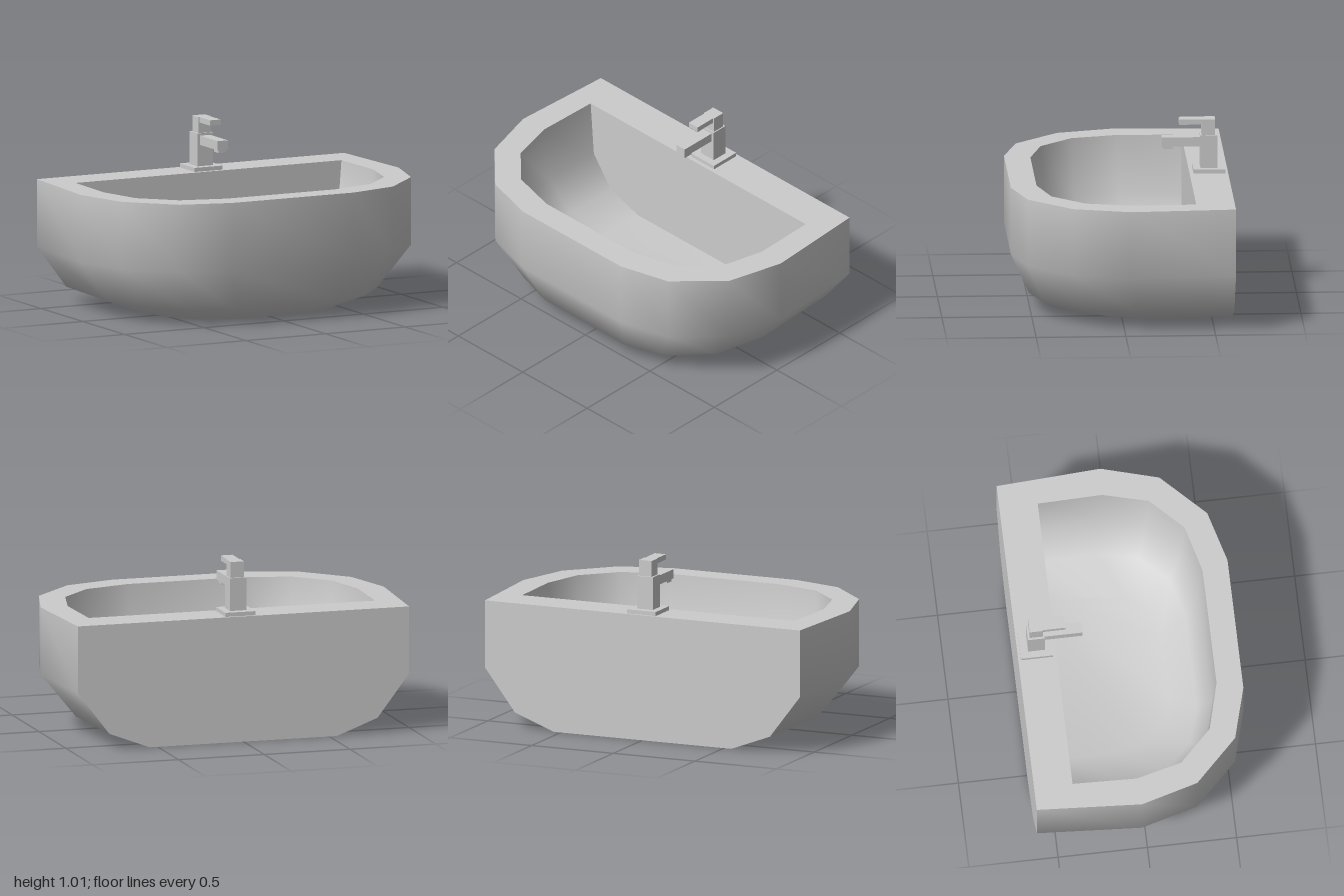
import * as THREE from 'three';
import { toCreasedNormals } from 'three/addons/utils/BufferGeometryUtils.js';

const ceramic = new THREE.MeshStandardMaterial({ color: 0xcccccc });
ceramic.name = 'pale grey';

// Mirror the left half of an outline, running from the back corner round the front
const mirrored = half => [...half, ...[...half].reverse().map(([x, z]) => [-x, z])];

const OUTER = mirrored([[0.965, -0.615], [1, -0.03], [0.91, 0.29], [0.67, 0.53], [0.38, 0.61]]);
const INNER = mirrored([[0.835, -0.4], [0.845, -0.04], [0.78, 0.215], [0.6, 0.395], [0.335, 0.465]]);

// One horizontal ring: the outline shrinks in x, and in z towards its flat back
function ring(outline, y, sx, sz) {
  const back = outline[0][1];
  return outline.map(([x, z]) => [x * sx, y, back + (z - back) * sz]);
}

// Closed shell: underside, outer wall, rim, bowl wall and bowl floor
function basinGeometry() {
  const rings = [
    ring(OUTER, 0, 0.565, 0.765),
    ring(OUTER, 0.09, 0.81, 0.915),
    ring(OUTER, 0.33, 1, 1),
    ring(OUTER, 0.71, 1, 1),
    ring(INNER, 0.71, 1, 1),
    ring(INNER, 0.38, 0.97, 0.97),
    ring(INNER, 0.2, 0.81, 0.88),
    ring(INNER, 0.13, 0.56, 0.71),
  ];
  const n = OUTER.length;
  const last = (rings.length - 1) * n;
  const index = [];
  for (let k = 0; k < rings.length - 1; k++) {
    for (let i = 0; i < n; i++) {
      const a = k * n + i, b = k * n + (i + 1) % n;
      index.push(a, a + n, b + n, a, b + n, b);
    }
  }
  for (let i = 1; i < n - 1; i++) {
    index.push(0, i, i + 1);
    index.push(last, last + i + 1, last + i);
  }
  const geometry = new THREE.BufferGeometry();
  geometry.setAttribute('position', new THREE.Float32BufferAttribute(rings.flat(2), 3));
  geometry.setIndex(index);
  return toCreasedNormals(geometry, THREE.MathUtils.degToRad(50));
}

// Box given by its limits on each axis
function block(name, [x0, x1], [y0, y1], [z0, z1]) {
  const mesh = new THREE.Mesh(new THREE.BoxGeometry(x1 - x0, y1 - y0, z1 - z0), ceramic);
  mesh.position.set((x0 + x1) / 2, (y0 + y1) / 2, (z0 + z1) / 2);
  mesh.name = name;
  return mesh;
}

export function createModel() {
  const model = new THREE.Group();
  model.name = 'washbasin';

  const basin = new THREE.Mesh(basinGeometry(), ceramic);
  basin.name = 'basin';

  // Square mixer tap on the back ledge
  const tap = new THREE.Group();
  tap.name = 'tap';
  tap.add(
    block('tapBase', [-0.075, 0.1], [0.71, 0.733], [-0.6, -0.422]),
    block('tapBody', [-0.037, 0.06], [0.733, 0.918], [-0.556, -0.462]),
    block('spout', [-0.022, 0.043], [0.853, 0.905], [-0.462, -0.248]),
    block('nozzle', [-0.012, 0.033], [0.836, 0.853], [-0.311, -0.255]),
    block('handleNeck', [-0.025, 0.053], [0.918, 1.008], [-0.545, -0.47]),
    block('handleLever', [-0.02, 0.048], [0.978, 1.008], [-0.47, -0.345]),
  );

  model.add(basin, tap);
  return model;
}
